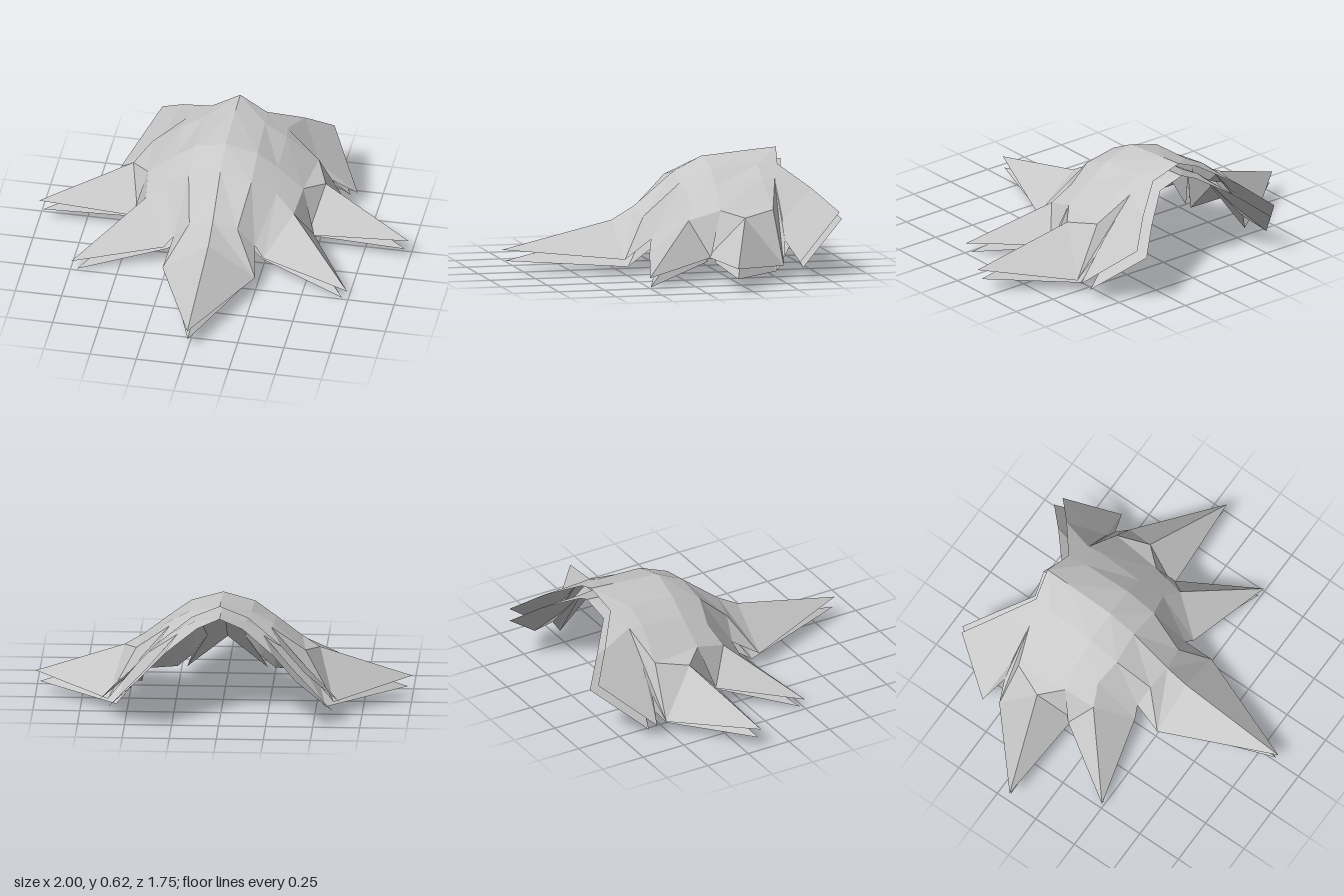
import * as THREE from 'three';

const THICKNESS = 0.062;

// Left half (+x) of the outer sheet, back to front
const POINTS = [
  [0, .63, -.63], [.15, .56, -.60], [.27, .50, -.555], [.45, .36, -.50],  // 0-3 back rim
  [0, .62, -.50], [.16, .565, -.49], [.28, .50, -.48],                    // 4-6 crown
  [0, .595, -.22], [.17, .55, -.23], [.28, .47, -.23], [.42, .36, -.22],  // 7-10
  [0, .52, -.07], [.17, .48, -.06], [.30, .40, -.09], [.40, .31, -.05],   // 11-14
  [0, .34, .15], [.13, .30, .13], [.22, .19, .11], [.27, .13, .13],       // 15-18 front rim
  [0, .27, .27], [.25, .09, .26], [0, .13, .87],                          // 19-21 front spike
  [.745, .06, .25], [.49, .12, -.15],                                     // 22-23 front side spike
];
const SIDE_POINTS = [
  [.52, .33, -.33], [.46, .12, -.14], [1, .13, -.17], [.60, .08, -.52],   // 24-27 side spike
  [.44, .30, -.555], [.33, .45, -.74], [.465, .335, -.86], [.64, .10, -.60], // 28-31 back spike
  [.51, .20, -.55],                                                       // 32 notch beside it
];

const FACES = {
  dome: [[0, 4, 5, 1], [1, 5, 6, 2], [2, 6, 3], [4, 7, 8, 5], [5, 8, 9, 6], [6, 9, 10, 3],
    [3, 10, 24], [7, 11, 12, 8], [8, 12, 13, 9], [9, 13, 14, 10],
    [11, 15, 16, 12], [12, 16, 17, 13], [13, 17, 18, 14]],
  frontSpike: [[15, 19, 20, 16], [16, 20, 17], [19, 21, 20]],
  frontSideSpikes: [[14, 18, 22], [14, 22, 23], [10, 14, 23]],
  sideSpikes: [[10, 25, 24], [24, 25, 26], [24, 26, 27], [3, 24, 27], [2, 3, 27, 32]],
  backSpikes: [[29, 1, 2], [29, 2, 28], [30, 29, 28], [30, 28, 31], [2, 32, 28], [28, 32, 31]],
};

export function createModel() {
  const group = new THREE.Group();
  group.name = 'spikyShell';
  const lightGrey = new THREE.MeshStandardMaterial({
    color: 0xc8c8c8, flatShading: true, side: THREE.DoubleSide,
  });
  lightGrey.name = 'lightGrey';

  // Mirror the points; those on the centre line are shared
  const outer = [...POINTS, ...SIDE_POINTS].map(p => new THREE.Vector3(...p));
  const half = outer.length;
  const twin = [];
  for (let i = 0; i < half; i++) {
    const p = outer[i];
    twin[i] = p.x === 0 ? i : outer.push(new THREE.Vector3(-p.x, p.y, p.z)) - 1;
  }

  // Split the faces into triangles on both sides
  const parts = {};
  for (const [name, faces] of Object.entries(FACES)) {
    parts[name] = [];
    for (const f of faces) {
      for (let k = 1; k < f.length - 1; k++) {
        const t = [f[0], f[k], f[k + 1]];
        parts[name].push(t, t.map(i => twin[i]).reverse());
      }
    }
  }

  // Inner sheet: each point moved against its averaged normal, the back edge also rearwards
  const normals = outer.map(() => new THREE.Vector3());
  for (const t of Object.values(parts).flat()) {
    const n = new THREE.Triangle(...t.map(i => outer[i])).getNormal(new THREE.Vector3());
    t.forEach(i => normals[i].add(n));
  }
  const inner = outer.map((p, i) => {
    const q = p.clone().addScaledVector(normals[i].normalize(), -THICKNESS);
    if (p.z < -.58) q.z = Math.min(q.z, p.z - .025);
    return q;
  });

  // Two open sheets, one above the other
  for (const [name, tris] of Object.entries(parts)) {
    const pts = [];
    for (const t of tris) {
      pts.push(...t.map(i => outer[i]), ...[...t].reverse().map(i => inner[i]));
    }
    const geometry = new THREE.BufferGeometry().setFromPoints(pts);
    geometry.computeVertexNormals();
    const mesh = new THREE.Mesh(geometry, lightGrey);
    mesh.name = name;
    group.add(mesh);
  }
  return group;
}
